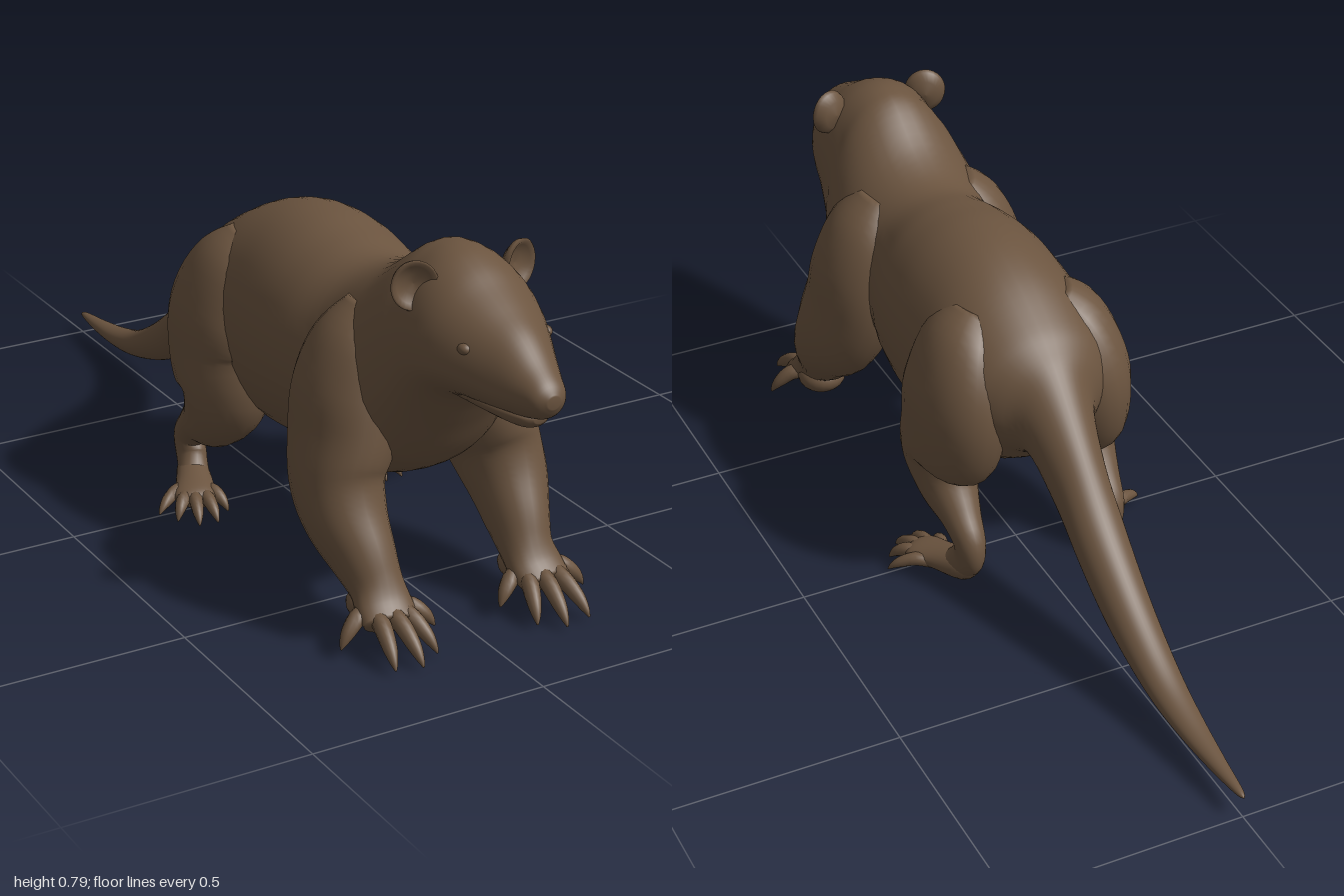
import * as THREE from 'three';

const fur = new THREE.MeshStandardMaterial({ color: 0x6b543f });
fur.name = 'brown fur';

// Catmull-Rom interpolation of every column of a table of sections
function smooth(rows, steps) {
  const out = [];
  const at = (i) => rows[Math.max(0, Math.min(rows.length - 1, i))];
  for (let i = 0; i < rows.length - 1; i++) {
    for (let k = 0; k < steps; k++) {
      const t = k / steps;
      out.push(rows[i].map((b, c) => {
        const a = at(i - 1)[c], d = at(i + 1)[c], e = at(i + 2)[c];
        return b + 0.5 * t * (d - a + t * (2 * a - 5 * b + 4 * d - e + t * (3 * (b - d) + e - a)));
      }));
    }
  }
  out.push(rows[rows.length - 1]);
  return out;
}

// Closed smooth skin over a list of rings, with faces turned outward
function skin(rings) {
  const n = rings[0].length, pos = [], idx = [];
  rings.forEach((r) => r.forEach((p) => pos.push(p.x, p.y, p.z)));
  for (let i = 0; i < rings.length - 1; i++) {
    for (let j = 0; j < n; j++) {
      const a = i * n + j, b = i * n + (j + 1) % n;
      idx.push(a, b, a + n, b, b + n, a + n);
    }
  }
  [0, rings.length - 1].forEach((i) => {
    const c = new THREE.Vector3();
    rings[i].forEach((p) => c.addScaledVector(p, 1 / n));
    const m = pos.length / 3;
    pos.push(c.x, c.y, c.z);
    for (let j = 0; j < n; j++) {
      const a = i * n + j, b = i * n + (j + 1) % n;
      if (i === 0) idx.push(m, b, a); else idx.push(m, a, b);
    }
  });
  const v = (i) => new THREE.Vector3().fromArray(pos, i * 3);
  let volume = 0;
  for (let i = 0; i < idx.length; i += 3) volume += v(idx[i]).dot(v(idx[i + 1]).cross(v(idx[i + 2])));
  if (volume < 0) idx.reverse();
  const g = new THREE.BufferGeometry();
  g.setAttribute('position', new THREE.Float32BufferAttribute(pos, 3));
  g.setIndex(idx);
  g.computeVertexNormals();
  return g;
}

// Upright egg-shaped sections: z, top, bottom, height of widest point, half width
function trunk(rows, sides = 40) {
  return skin(smooth(rows, 5).map(([z, top, bottom, mid, w]) =>
    Array.from({ length: sides }, (_, j) => {
      const t = (j / sides) * Math.PI * 2, s = Math.sin(t);
      return new THREE.Vector3(w * Math.cos(t), mid + s * (s > 0 ? top - mid : mid - bottom), z);
    })));
}

// Oval sections square to a path: x, y, z, sideways radius, other radius
function limb(rows, side, sides = 24, steps = 5) {
  const s = smooth(rows, steps);
  const pts = s.map((r) => new THREE.Vector3(r[0] * side, r[1], r[2]));
  return skin(s.map((r, i) => {
    const t = pts[Math.min(i + 1, pts.length - 1)].clone().sub(pts[Math.max(i - 1, 0)]).normalize();
    const u = new THREE.Vector3(1, 0, 0).addScaledVector(t, -t.x).normalize();
    const w = new THREE.Vector3().crossVectors(t, u);
    return Array.from({ length: sides }, (_, j) => {
      const a = (j / sides) * Math.PI * 2;
      return pts[i].clone().addScaledVector(u, Math.cos(a) * r[3]).addScaledVector(w, Math.sin(a) * r[4]);
    });
  }));
}

export function createModel() {
  const model = new THREE.Group();
  const add = (name, geometry) => {
    const m = new THREE.Mesh(geometry, fur);
    m.name = name;
    model.add(m);
    return m;
  };
  const blob = (name, x, y, z, rx, ry, rz) => {
    const m = add(name, new THREE.SphereGeometry(1, 20, 14));
    m.position.set(x, y, z);
    m.scale.set(rx, ry, rz);
  };

  // Head, body and tail in one skin
  add('bodyAndTail', trunk([
    [1, 0.6, 0.575, 0.588, 0.014], [0.985, 0.62, 0.552, 0.588, 0.036],
    [0.95, 0.647, 0.54, 0.588, 0.053], [0.9, 0.687, 0.535, 0.59, 0.076],
    [0.85, 0.715, 0.532, 0.6, 0.1], [0.8, 0.742, 0.528, 0.605, 0.122],
    [0.75, 0.77, 0.505, 0.6, 0.138], [0.7, 0.788, 0.43, 0.58, 0.146],
    [0.65, 0.79, 0.35, 0.52, 0.155], [0.6, 0.773, 0.3, 0.47, 0.175],
    [0.5, 0.703, 0.25, 0.43, 0.19], [0.4, 0.67, 0.235, 0.44, 0.168],
    [0.3, 0.685, 0.225, 0.45, 0.19], [0.2, 0.7, 0.21, 0.45, 0.2],
    [0.1, 0.695, 0.205, 0.45, 0.198], [0, 0.665, 0.225, 0.45, 0.195],
    [-0.1, 0.612, 0.285, 0.45, 0.17], [-0.15, 0.577, 0.33, 0.45, 0.13],
    [-0.2, 0.535, 0.33, 0.43, 0.083], [-0.3, 0.43, 0.25, 0.34, 0.061],
    [-0.4, 0.325, 0.18, 0.255, 0.057], [-0.5, 0.24, 0.12, 0.18, 0.052],
    [-0.6, 0.17, 0.08, 0.125, 0.046], [-0.7, 0.117, 0.055, 0.086, 0.039],
    [-0.8, 0.087, 0.045, 0.066, 0.03], [-0.9, 0.071, 0.042, 0.057, 0.019],
    [-0.98, 0.062, 0.047, 0.055, 0.009], [-1, 0.056, 0.052, 0.054, 0.002],
  ]));

  // Lower jaw
  add('lowerJaw', trunk([
    [0.957, 0.545, 0.53, 0.538, 0.012], [0.945, 0.552, 0.519, 0.54, 0.03],
    [0.92, 0.56, 0.514, 0.542, 0.045], [0.87, 0.57, 0.518, 0.547, 0.065],
    [0.78, 0.57, 0.52, 0.55, 0.08],
  ], 28));

  const foreLeg = [
    [0.08, 0.62, 0.5, 0.05, 0.06], [0.11, 0.55, 0.5, 0.09, 0.105],
    [0.135, 0.46, 0.5, 0.106, 0.125], [0.155, 0.37, 0.51, 0.1, 0.13],
    [0.18, 0.29, 0.535, 0.089, 0.118], [0.186, 0.225, 0.58, 0.082, 0.09],
    [0.178, 0.16, 0.635, 0.065, 0.07], [0.173, 0.115, 0.675, 0.055, 0.052],
    [0.175, 0.085, 0.71, 0.06, 0.036], [0.18, 0.065, 0.745, 0.056, 0.024],
  ];
  const hindLeg = [
    [0.08, 0.6, 0.02, 0.05, 0.06], [0.11, 0.54, 0.01, 0.09, 0.115],
    [0.135, 0.44, -0.005, 0.106, 0.15], [0.147, 0.35, 0, 0.1, 0.148],
    [0.155, 0.275, 0.025, 0.09, 0.115], [0.163, 0.21, -0.01, 0.066, 0.078],
    [0.165, 0.163, -0.075, 0.044, 0.045], [0.165, 0.12, -0.117, 0.034, 0.038],
    [0.166, 0.075, -0.108, 0.031, 0.042], [0.18, 0.045, -0.07, 0.034, 0.028],
  ];
  const foot = [
    [0.162, 0.07, -0.125, 0.018, 0.018], [0.17, 0.05, -0.1, 0.032, 0.032],
    [0.195, 0.042, -0.04, 0.04, 0.027], [0.22, 0.036, 0.01, 0.045, 0.022],
    [0.23, 0.032, 0.03, 0.03, 0.014],
  ];
  // Digits: start x, y, z, then tip x, y, z
  const fingers = [
    [0.135, 0.075, 0.7, 0.076, 0.035, 0.735], [0.148, 0.08, 0.715, 0.115, 0.02, 0.81],
    [0.172, 0.082, 0.725, 0.165, 0.017, 0.84], [0.2, 0.08, 0.72, 0.222, 0.02, 0.832],
    [0.213, 0.08, 0.7, 0.28, 0.03, 0.725],
  ];
  const toes = [
    [0.18, 0.035, -0.01, 0.165, 0.012, 0.055], [0.2, 0.035, 0.005, 0.207, 0.01, 0.09],
    [0.22, 0.036, 0.005, 0.248, 0.01, 0.085], [0.235, 0.036, 0, 0.28, 0.012, 0.047],
    [0.22, 0.036, -0.04, 0.302, 0.015, 0.005],
  ];
  // Arched digit narrowing to a claw
  const digit = ([x, y, z, tx, ty, tz], side, r) => {
    const at = (f, lift, k) => [x + (tx - x) * f, y + (ty - y) * f + lift, z + (tz - z) * f, r * k, r * k];
    return limb([at(0, 0, 1), at(0.35, 0.012, 1), at(0.7, 0.01, 0.8), at(0.9, 0.003, 0.45), at(1, -0.004, 0.1)], side, 12, 3);
  };

  for (const side of [1, -1]) {
    const tag = side > 0 ? 'left' : 'right';
    add(tag + 'ForeLeg', limb(foreLeg, side));
    blob(tag + 'Palm', 0.175 * side, 0.078, 0.67, 0.055, 0.038, 0.055);
    fingers.forEach((f) => add(tag + 'Finger', digit(f, side, 0.018)));
    add(tag + 'HindLeg', limb(hindLeg, side));
    add(tag + 'HindFoot', limb(foot, side));
    toes.forEach((t) => add(tag + 'Toe', digit(t, side, 0.015)));
    blob(tag + 'Eye', 0.088 * side, 0.652, 0.835, 0.014, 0.012, 0.016);

    // Cupped round ear
    const profile = [[0, -0.022], [0.028, -0.018], [0.043, -0.004], [0.046, 0.006], [0.042, 0.01],
      [0.034, 0.003], [0.018, -0.006], [0, -0.008]].map(([r, y]) => new THREE.Vector2(r, y));
    const ear = add(tag + 'Ear', new THREE.LatheGeometry(profile, 28).rotateX(Math.PI / 2));
    ear.position.set(0.115 * side, 0.736, 0.7);
    ear.rotation.y = 0.35 * side;
    ear.scale.y = 1.1;
  }
  return model;
}
